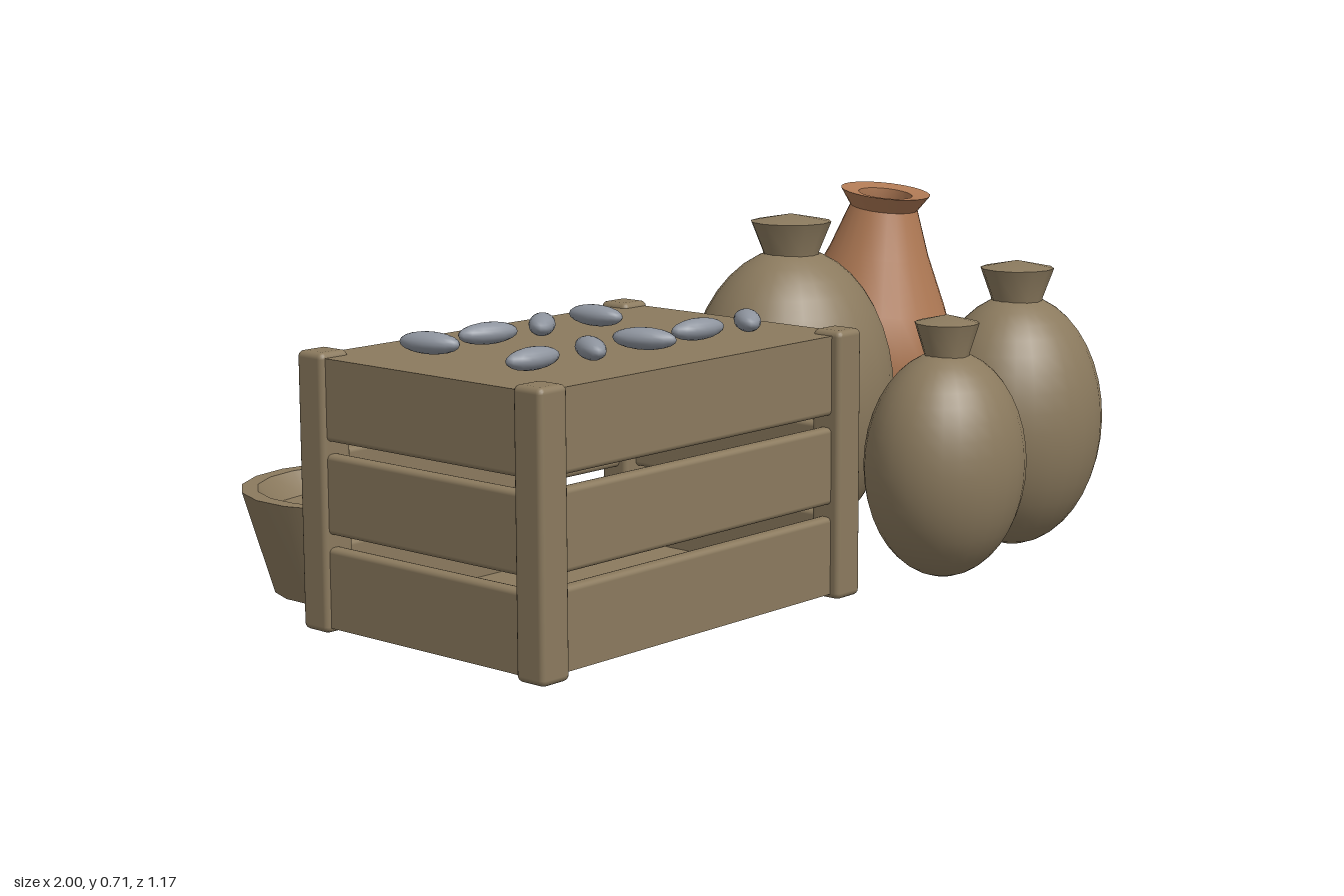
import * as THREE from 'three';
import { toCreasedNormals } from 'three/addons/utils/BufferGeometryUtils.js';
import { RoundedBoxGeometry } from 'three/addons/geometries/RoundedBoxGeometry.js';

const mat = (name, color) => {
  const m = new THREE.MeshStandardMaterial({ color });
  m.name = name;
  return m;
};

function part(parent, name, geometry, material, x = 0, y = 0, z = 0) {
  const mesh = new THREE.Mesh(geometry, material);
  mesh.name = name;
  mesh.position.set(x, y, z);
  parent.add(mesh);
  return mesh;
}

function group(parent, name, x = 0, y = 0, z = 0) {
  const g = new THREE.Group();
  g.name = name;
  g.position.set(x, y, z);
  parent.add(g);
  return g;
}

// Turned shape from [radius, height] pairs, with sharp edges kept
const turned = (profile, sides) => toCreasedNormals(
  new THREE.LatheGeometry(profile.map(([r, y]) => new THREE.Vector2(r, y)), sides), 0.8);

export function createModel() {
  const model = new THREE.Group();
  model.name = 'marketGoods';
  const wood = mat('khakiBrown', 0x8b7a5e);
  const clay = mat('terracotta', 0xb07a55);
  const silver = mat('fishGrey', 0x8e949e);
  const coal = mat('charcoalBlack', 0x1a1a1a);

  // Crate: corner posts, lid, base and three rows of slats with open gaps
  const crate = group(model, 'crate', -0.555, 0, 0.125);
  const post = new RoundedBoxGeometry(0.07, 0.53, 0.07, 2, 0.012);
  for (const sx of [-1, 1]) for (const sz of [-1, 1]) {
    part(crate, 'cornerPost', post, wood, sx * 0.41, 0.295, sz * 0.28);
  }
  const panel = new THREE.BoxGeometry(0.87, 0.02, 0.59);
  part(crate, 'lid', panel, wood, 0, 0.54, 0);
  part(crate, 'base', panel, wood, 0, 0.05, 0);
  const longSlat = new RoundedBoxGeometry(0.8, 0.152, 0.03, 2, 0.01);
  const shortSlat = new RoundedBoxGeometry(0.03, 0.152, 0.54, 2, 0.01);
  for (const y of [0.117, 0.294, 0.47]) for (const s of [-1, 1]) {
    part(crate, 'longSlat', longSlat, wood, 0, y, s * 0.28);
    part(crate, 'endSlat', shortSlat, wood, s * 0.42, y, 0);
  }

  // Fish laid out on the lid: x, z, turn in degrees
  const fish = group(model, 'fish');
  const fishBody = new THREE.SphereGeometry(1, 16, 10);
  fishBody.scale(0.064, 0.021, 0.026);
  for (const [x, z, turn] of [
    [-0.85, 0.01, 105], [-0.70, 0.01, -14], [-0.555, 0.01, 42], [-0.405, 0.01, 95],
    [-0.85, 0.275, 0], [-0.70, 0.275, 57], [-0.555, 0.275, 112], [-0.405, 0.275, -6], [-0.26, 0.275, 47],
  ]) {
    part(fish, 'fishBody', fishBody, silver, x, 0.576, z).rotation.y = turn * Math.PI / 180;
  }

  // Sacks: oval body, flared neck and low pointed top
  for (const [x, z, rx, rz, bottom, top, neck] of [
    [0.26, -0.045, 0.24, 0.212, 0.005, 0.64, 0.087],
    [0.527, 0.355, 0.2, 0.179, 0.01, 0.548, 0.078],
    [0.185, 0.425, 0.18, 0.157, 0.012, 0.478, 0.066],
  ]) {
    const sack = group(model, 'sack', x, 0, z);
    const body = new THREE.SphereGeometry(1, 28, 20);
    body.scale(rx, (top - bottom) / 2, rz);
    part(sack, 'sackBody', body, wood, 0, (top + bottom) / 2, 0);
    part(sack, 'sackNeck', turned([
      [neck * 0.68, -0.015], [neck * 0.7, 0], [neck, 0.064], [0, 0.08],
    ], 12), wood, 0, top - 0.007, 0);
  }

  // Leaning jar with a flared rim and hollow neck
  const jar = group(model, 'jar', 0.79, 0.03, -0.285);
  jar.rotation.x = 0.125;
  part(jar, 'jarBody', turned([
    [0, 0], [0.085, 0], [0.15, 0.13], [0.193, 0.235], [0.205, 0.32], [0.168, 0.42],
    [0.115, 0.54], [0.078, 0.645], [0.103, 0.682], [0.062, 0.676], [0.058, 0.63],
    [0.095, 0.54], [0.14, 0.42], [0, 0.38],
  ], 24), clay);

  // Bowl with a raised floor
  const bowl = group(model, 'bowl', -0.7, 0, -0.355);
  part(bowl, 'bowlBody', turned([
    [0, 0.03], [0.175, 0.03], [0.235, 0.235], [0.203, 0.235], [0.172, 0.19], [0, 0.19],
  ], 18), wood);

  // Charcoal lumps heaped in the bowl: x, z, height
  const lump = new THREE.IcosahedronGeometry(0.025, 1);
  for (const [x, z, y] of [
    [0.024, -0.125, 0.25], [0.056, -0.1, 0.245], [-0.037, -0.003, 0.23], [-0.003, -0.005, 0.245],
    [0.056, -0.009, 0.25], [0.118, 0.002, 0.235], [0.05, 0.018, 0.23], [-0.055, 0.053, 0.23],
    [0.01, 0.037, 0.24], [0.03, 0.077, 0.225], [0.07, 0.072, 0.23],
  ]) {
    part(bowl, 'charcoalLump', lump, coal, x, y, z).rotation.set(x * 30, z * 30, y * 20);
  }
  return model;
}
